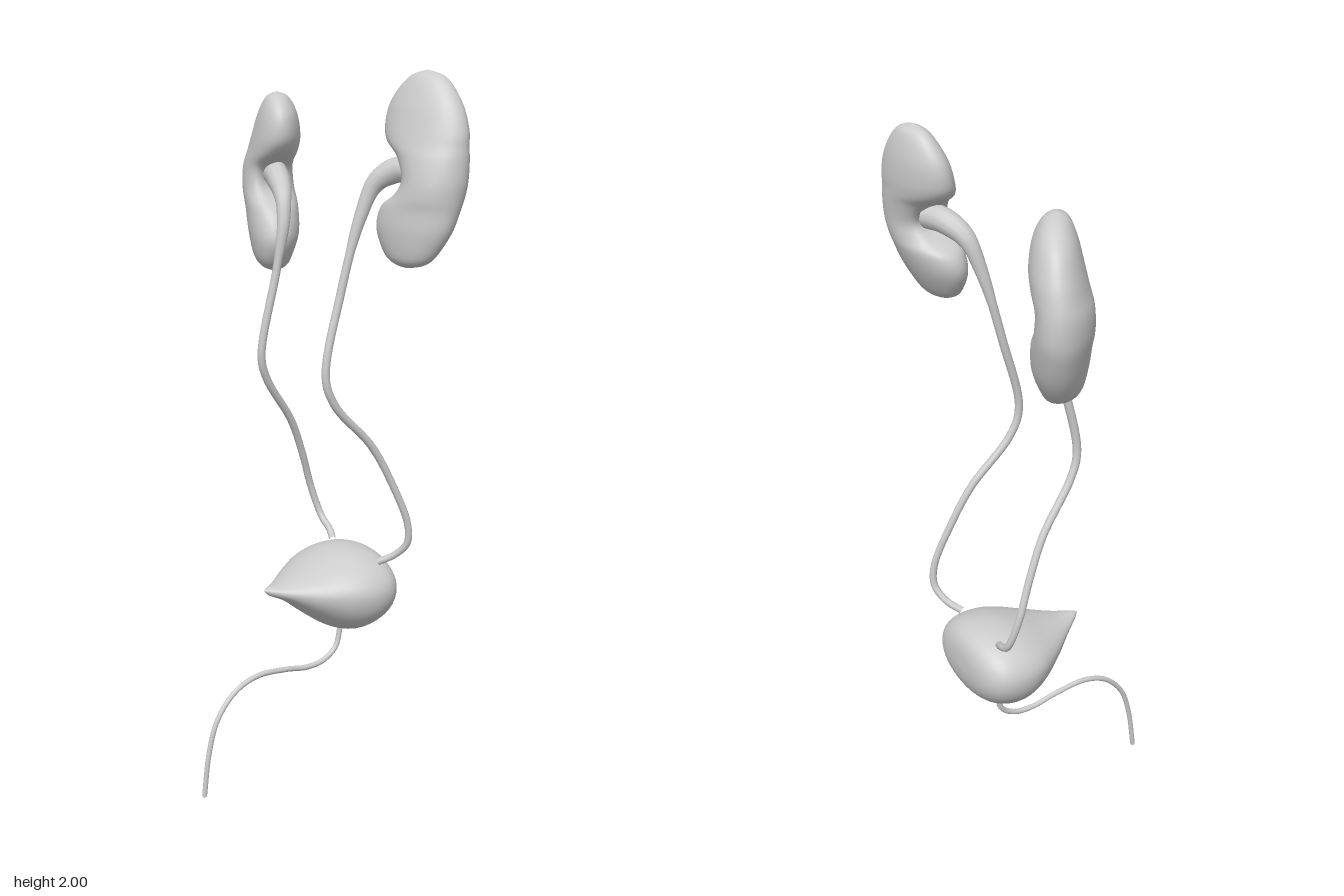
import * as THREE from 'three';
import { mergeVertices } from 'three/addons/utils/BufferGeometryUtils.js';

// Catmull-Rom interpolation through rows of numbers, t from 0 to 1
function sampleRows(rows, t) {
  const f = t * (rows.length - 1), i = Math.min(Math.floor(f), rows.length - 2), s = f - i;
  const at = k => rows[Math.max(0, Math.min(rows.length - 1, k))];
  return rows[0].map((_, c) => {
    const a = at(i - 1)[c], b = at(i)[c], d = at(i + 1)[c], e = at(i + 2)[c];
    return b + 0.5 * s * (d - a + s * (2 * a - 5 * b + 4 * d - e + s * (3 * (b - d) + e - a)));
  });
}

// Closed smooth surface from rows; point(row, cos, sin) places one ring vertex
function loft(rows, steps, sides, point) {
  const pos = [], index = [];
  for (let i = 0; i <= steps; i++) {
    const row = sampleRows(rows, i / steps);
    for (let j = 0; j < sides; j++) {
      const a = (j / sides) * Math.PI * 2;
      pos.push(...point(row, Math.cos(a), Math.sin(a)));
      if (i === steps) continue;
      const A = i * sides + j, B = i * sides + (j + 1) % sides;
      index.push(A, B, A + sides, B, B + sides, A + sides);
    }
  }
  let geo = new THREE.BufferGeometry();
  geo.setAttribute('position', new THREE.Float32BufferAttribute(pos, 3));
  geo.setIndex(index);
  geo = mergeVertices(geo, 1e-4);
  geo.computeVertexNormals();
  return geo;
}

// Tube along points whose radius follows the list of [u, radius] stops
function taperedTube(points, stops, segments) {
  const curve = new THREE.CatmullRomCurve3(points.map(p => new THREE.Vector3(...p)));
  const sides = 12, geo = new THREE.TubeGeometry(curve, segments, 1, sides);
  const pos = geo.attributes.position, v = new THREE.Vector3();
  for (let i = 0; i <= segments; i++) {
    const u = i / segments, c = curve.getPointAt(u);
    let k = 0;
    while (k < stops.length - 2 && u > stops[k + 1][0]) k++;
    const [u0, r0] = stops[k], [u1, r1] = stops[k + 1];
    const r = THREE.MathUtils.mapLinear(u, u0, u1, r0, r1);
    for (let j = 0; j <= sides; j++) {
      const n = i * (sides + 1) + j;
      v.fromBufferAttribute(pos, n).sub(c).multiplyScalar(r).add(c);
      pos.setXYZ(n, v.x, v.y, v.z);
    }
  }
  return geo;
}

// Kidney rows: y, inner x, outer x, centre z, half depth; slope turns it about y
function kidney(rows, side, hilumY, slope) {
  return loft(rows, 56, 40, ([y, xin, xout, zc, d], c, s) => {
    const xc = (xin + xout) / 2, hw = Math.abs(xout - xin) / 2;
    const facing = Math.max(0, -c * side);
    const dent = 0.04 * facing ** 8 * Math.exp(-(((y - hilumY) / 0.05) ** 2));
    const dx = hw * c + side * dent;
    return [xc + dx, y, zc + slope * dx + d * s];
  });
}

export function createModel() {
  const group = new THREE.Group();
  const grey = new THREE.MeshStandardMaterial({ color: 0xcccccc });
  grey.name = 'light grey';
  const add = (name, geo) => {
    const mesh = new THREE.Mesh(geo, grey);
    mesh.name = name;
    group.add(mesh);
  };

  // Kidneys
  add('rightKidney', kidney([
    [1.91, -0.25, -0.25, -0.145, 0],
    [1.895, -0.205, -0.30, -0.15, 0.035],
    [1.85, -0.167, -0.357, -0.158, 0.06],
    [1.79, -0.163, -0.393, -0.165, 0.075],
    [1.745, -0.19, -0.41, -0.17, 0.08],
    [1.70, -0.238, -0.42, -0.175, 0.082],
    [1.64, -0.23, -0.418, -0.172, 0.085],
    [1.59, -0.18, -0.405, -0.16, 0.085],
    [1.52, -0.152, -0.375, -0.145, 0.08],
    [1.46, -0.172, -0.335, -0.135, 0.062],
    [1.43, -0.20, -0.29, -0.133, 0.04],
    [1.415, -0.24, -0.24, -0.133, 0],
  ], -1, 1.67, 0.42));
  add('leftKidney', kidney([
    [1.999, 0.265, 0.265, -0.235, 0],
    [1.98, 0.21, 0.325, -0.235, 0.03],
    [1.92, 0.162, 0.38, -0.228, 0.054],
    [1.86, 0.154, 0.408, -0.22, 0.066],
    [1.82, 0.172, 0.415, -0.213, 0.071],
    [1.785, 0.22, 0.42, -0.208, 0.074],
    [1.73, 0.25, 0.423, -0.2, 0.076],
    [1.69, 0.23, 0.42, -0.193, 0.077],
    [1.655, 0.187, 0.415, -0.186, 0.075],
    [1.60, 0.18, 0.404, -0.173, 0.066],
    [1.54, 0.215, 0.372, -0.16, 0.046],
    [1.515, 0.25, 0.34, -0.155, 0.027],
    [1.505, 0.29, 0.29, -0.15, 0],
  ], 1, 1.74, -0.1));

  // Ureters, widening into the renal pelvis at the kidney
  const ureterRadii = [[0, 0.036], [0.06, 0.032], [0.12, 0.021], [0.24, 0.012], [0.9, 0.01], [1, 0.01]];
  add('rightUreter', taperedTube([
    [-0.27, 1.69, -0.15], [-0.215, 1.675, -0.125], [-0.17, 1.64, -0.105],
    [-0.147, 1.57, -0.09], [-0.152, 1.44, -0.07], [-0.162, 1.2, -0.024],
    [-0.166, 1.13, -0.045], [-0.178, 0.99, -0.14], [-0.19, 0.88, -0.19],
    [-0.196, 0.76, -0.23], [-0.172, 0.675, -0.25], [-0.13, 0.65, -0.245], [-0.095, 0.63, -0.23],
  ], ureterRadii, 110));
  add('leftUreter', taperedTube([
    [0.27, 1.75, -0.2], [0.215, 1.745, -0.18], [0.168, 1.71, -0.15],
    [0.143, 1.62, -0.12], [0.126, 1.42, -0.07], [0.13, 1.2, -0.018],
    [0.136, 1.12, -0.045], [0.153, 0.99, -0.16], [0.168, 0.88, -0.22],
    [0.187, 0.75, -0.268], [0.182, 0.69, -0.272], [0.15, 0.65, -0.255], [0.115, 0.625, -0.225],
  ], ureterRadii, 110));

  // Bladder rows: z, half width, top y, bottom y, widest y
  add('bladder', loft([
    [-0.306, 0, 0.535, 0.535, 0.535],
    [-0.30, 0.085, 0.59, 0.49, 0.537],
    [-0.28, 0.138, 0.625, 0.45, 0.54],
    [-0.24, 0.168, 0.643, 0.418, 0.54],
    [-0.18, 0.174, 0.645, 0.405, 0.54],
    [-0.12, 0.158, 0.63, 0.425, 0.545],
    [-0.05, 0.113, 0.606, 0.475, 0.55],
    [0.02, 0.056, 0.587, 0.53, 0.56],
    [0.07, 0.017, 0.581, 0.557, 0.57],
    [0.088, 0, 0.575, 0.575, 0.575],
  ], 48, 48, ([z, w, top, bottom, mid], c, s) =>
    [-0.005 + w * c, mid + s * (s > 0 ? top - mid : mid - bottom), z]));

  // Urethra
  add('urethra', taperedTube([
    [-0.007, 0.43, -0.187], [-0.007, 0.38, -0.185], [-0.007, 0.335, -0.17],
    [-0.007, 0.306, -0.125], [-0.007, 0.301, -0.065], [-0.007, 0.315, 0.01],
    [-0.007, 0.323, 0.115], [-0.007, 0.296, 0.19], [-0.007, 0.23, 0.25],
    [-0.007, 0.14, 0.28], [-0.007, 0.001, 0.3],
  ], [[0, 0.008], [0.99, 0.007], [1, 0]], 90));

  return group;
}
